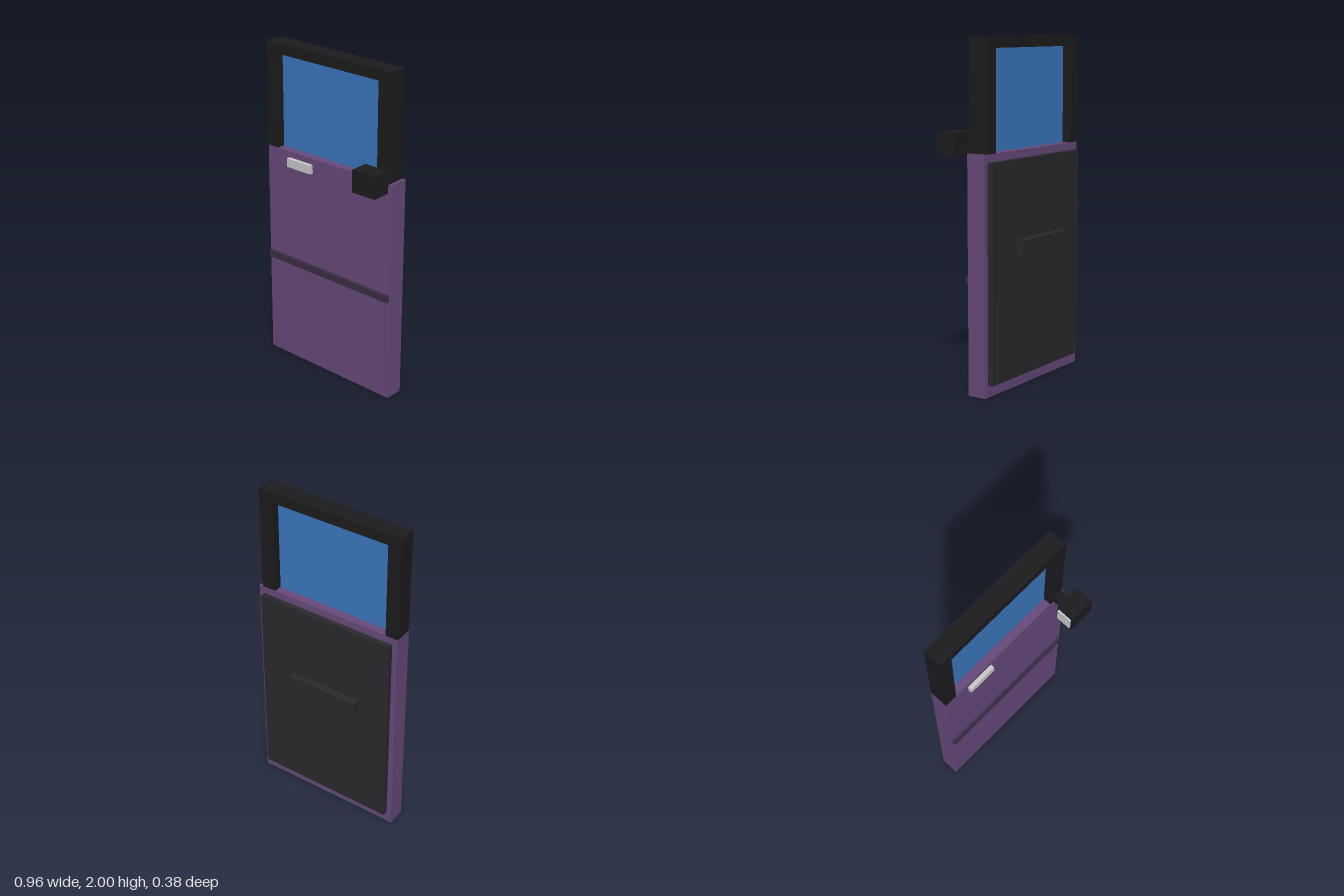
import * as THREE from 'three';

const material = (color) => new THREE.MeshStandardMaterial({ color });

export function createModel() {
  const door = new THREE.Group();
  door.name = 'vehicleDoor';

  const paint = material(0x684a7c);
  const trim = material(0x3b2e46);
  const black = material(0x1c1c1e);
  const lining = material(0x2a292d);
  const grey = material(0xcccccc);
  const glass = material(0x3b78c0);

  // Box given by its [min, max] extent along each axis
  const addBox = (name, mat, [x0, x1], [y0, y1], [z0, z1], parent = door) => {
    const mesh = new THREE.Mesh(new THREE.BoxGeometry(x1 - x0, y1 - y0, z1 - z0), mat);
    mesh.position.set((x0 + x1) / 2, (y0 + y1) / 2, (z0 + z1) / 2);
    mesh.name = name;
    parent.add(mesh);
    return mesh;
  };

  // Lower door body and outside details
  addBox('doorBody', paint, [-0.483, 0.457], [0, 1.365], [-0.11, 0.003]);
  addBox('trimStrip', trim, [-0.473, 0.448], [0.64, 0.683], [0.003, 0.022]);
  addBox('doorHandle', grey, [-0.313, -0.132], [1.275, 1.328], [0.003, 0.027]);

  // Window frame: an upside-down U standing on the body
  const outline = new THREE.Shape([
    [-0.483, 1.365], [-0.405, 1.365], [-0.405, 1.937], [0.345, 1.937],
    [0.345, 1.365], [0.435, 1.365], [0.435, 2], [-0.483, 2],
  ].map(([x, y]) => new THREE.Vector2(x, y)));
  const frame = new THREE.Mesh(
    new THREE.ExtrudeGeometry(outline, { depth: 0.113, bevelEnabled: false }), black);
  frame.position.z = -0.11;
  frame.name = 'windowFrame';
  door.add(frame);
  addBox('windowGlass', glass, [-0.405, 0.345], [1.365, 1.937], [-0.06, -0.047]);

  // Inside lining and armrest
  addBox('innerPanel', lining, [-0.45, 0.425], [0.07, 1.32], [-0.143, -0.11]);
  addBox('armrest', lining, [-0.257, 0.197], [0.777, 0.865], [-0.188, -0.143]);

  // Side mirror
  const mirror = new THREE.Group();
  mirror.name = 'sideMirror';
  addBox('mirrorArm', black, [0.37, 0.437], [1.365, 1.41], [0.003, 0.075], mirror);
  addBox('mirrorHousing', black, [0.322, 0.481], [1.345, 1.477], [0.073, 0.187], mirror);
  addBox('mirrorGlass', grey, [0.312, 0.322], [1.36, 1.463], [0.084, 0.175], mirror);
  door.add(mirror);

  return door;
}
